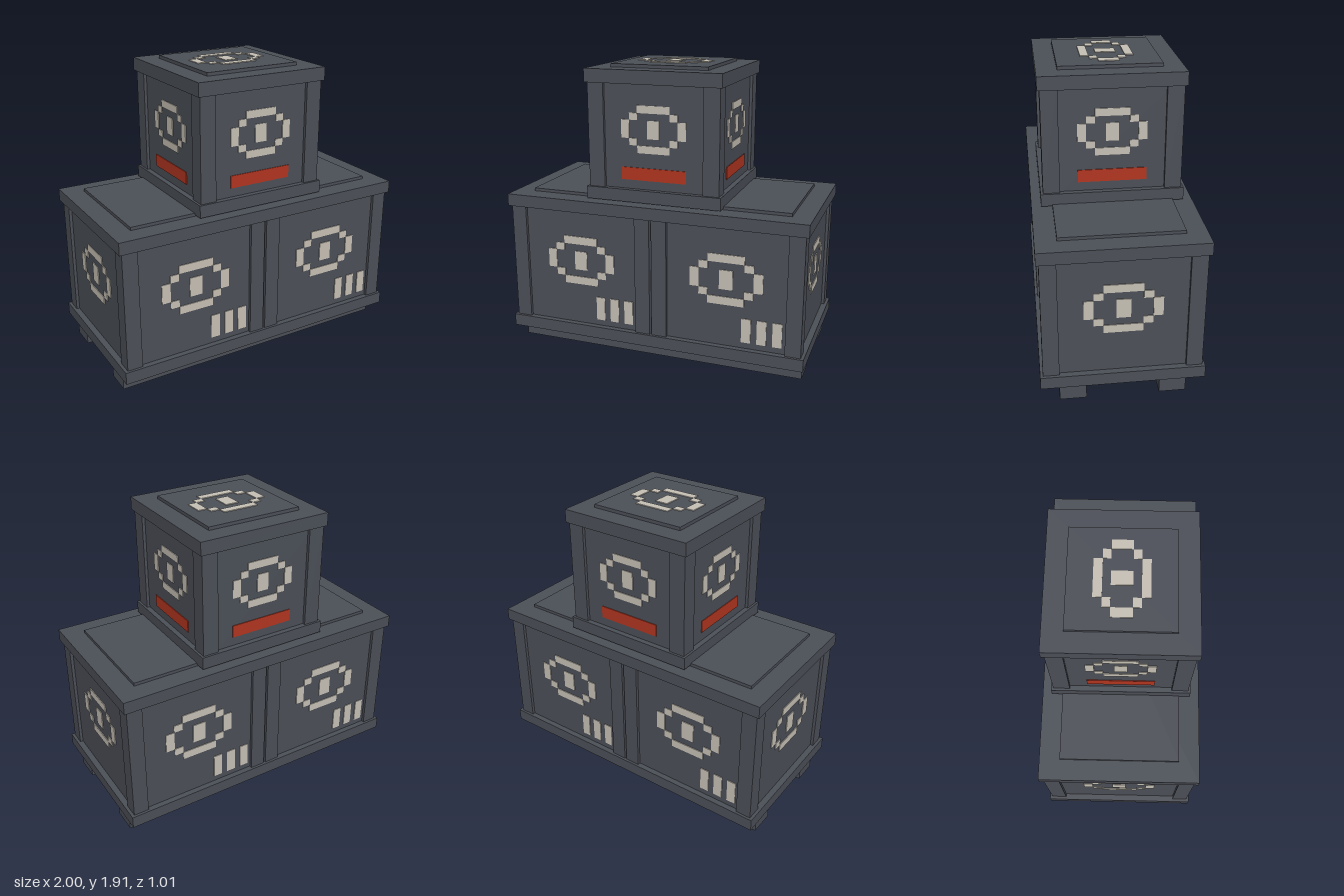
import * as THREE from 'three';

const steel = new THREE.MeshStandardMaterial({ color: 0x4b4f57 });
steel.name = 'dark steel';
const cream = new THREE.MeshStandardMaterial({ color: 0xc6c0b5 });
cream.name = 'cream paint';
const red = new THREE.MeshStandardMaterial({ color: 0xb23520 });
red.name = 'red paint';

// Box given by its lower and upper limits on each axis
function block(parent, name, mat, [x0, x1], [y0, y1], [z0, z1]) {
  const mesh = new THREE.Mesh(new THREE.BoxGeometry(x1 - x0, y1 - y0, z1 - z0), mat);
  mesh.position.set((x0 + x1) / 2, (y0 + y1) / 2, (z0 + z1) / 2);
  mesh.name = name;
  parent.add(mesh);
  return mesh;
}

const T = 0.005; // thickness of painted plates

function plate(parent, name, mat, x, y, w, h) {
  block(parent, name, mat, [x - w / 2, x + w / 2], [y - h / 2, y + h / 2], [0, T]);
}

// Stepped oval ring with a small block in the middle, facing +z
function emblem(w, h) {
  const g = new THREE.Group();
  g.name = 'emblem';
  const a = w / 2, b = h / 2;
  plate(g, 'emblemCentre', cream, 0, 0, a * 0.37, b * 0.77);
  for (const s of [-1, 1]) {
    plate(g, 'emblemBar', cream, 0, s * b * 0.84, a, b * 0.32);
    plate(g, 'emblemSide', cream, s * a * 0.875, 0, a * 0.25, b * 0.77);
    for (const t of [-1, 1])
      plate(g, 'emblemStep', cream, s * a * 0.625, t * b * 0.533, a * 0.25, b * 0.295);
  }
  return g;
}

// Recessed core with four corner posts
function crateBody(parent, name, [x0, x1], hz, yCore, yPost, inset, post) {
  const g = new THREE.Group();
  g.name = name;
  block(g, 'panels', steel, [x0 + inset, x1 - inset], yCore, [-hz + inset, hz - inset]);
  for (const x of [x0, x1 - post])
    for (const z of [-hz, hz - post])
      block(g, 'cornerPost', steel, [x, x + post], yPost, [z, z + post]);
  parent.add(g);
}

export function createModel() {
  const model = new THREE.Group();
  model.name = 'stackedCrates';

  // Skids
  for (const s of [-1, 1]) {
    const z = [s * 0.225, s * 0.39].sort((p, q) => p - q);
    block(model, 'skid', steel, [-0.975, 0.975], [0, 0.1], z);
  }

  // Two lower crates sharing a base frame and lid
  crateBody(model, 'lowerCrateRight', [-0.98, -0.007], 0.488, [0.1, 1], [0.15, 1], 0.02, 0.1);
  crateBody(model, 'lowerCrateLeft', [0.007, 0.98], 0.488, [0.1, 1], [0.15, 1], 0.02, 0.1);
  block(model, 'lowerFrame', steel, [-1, 1], [0.11, 0.19], [-0.505, 0.505]);
  block(model, 'lowerLid', steel, [-1, 1], [0.97, 1.05], [-0.505, 0.505]);
  block(model, 'lowerLidPanel', steel, [-0.87, 0.87], [1.05, 1.07], [-0.375, 0.375]);

  // Upper crate
  crateBody(model, 'upperCrate', [-0.43, 0.43], 0.43, [1.05, 1.84], [1.1, 1.84], 0.02, 0.105);
  block(model, 'upperFrame', steel, [-0.445, 0.445], [1.06, 1.14], [-0.445, 0.445]);
  block(model, 'upperLid', steel, [-0.445, 0.445], [1.8, 1.885], [-0.445, 0.445]);
  block(model, 'upperLidPanel', steel, [-0.318, 0.318], [1.885, 1.906], [-0.318, 0.318]);

  // Markings on the long sides: emblem and three bars on each crate
  for (const angle of [0, Math.PI]) {
    const side = new THREE.Group();
    side.name = 'longSideMarkings';
    side.rotation.y = angle;
    for (const x of [-0.494, 0.494]) {
      const e = emblem(0.47, 0.33);
      e.position.set(x, 0.631, 0.468);
      side.add(e);
      const bars = new THREE.Group();
      bars.name = 'stripeSet';
      bars.position.z = 0.468;
      for (let i = 0; i < 3; i++)
        plate(bars, 'stripe', cream, x + 0.135 + i * 0.099, 0.31, 0.06, 0.16);
      side.add(bars);
    }
    model.add(side);
  }

  // Markings on the lower ends
  for (const s of [-1, 1]) {
    const e = emblem(0.475, 0.33);
    e.position.set(s * 0.96, 0.628, 0);
    e.rotation.y = s * Math.PI / 2;
    model.add(e);
  }

  // Markings on all four sides of the upper crate
  for (let i = 0; i < 4; i++) {
    const side = new THREE.Group();
    side.name = 'upperSideMarkings';
    side.rotation.y = i * Math.PI / 2;
    const e = emblem(0.425, 0.298);
    e.position.set(0, 1.521, 0.41);
    const label = new THREE.Group();
    label.name = 'redLabel';
    label.position.z = 0.41;
    plate(label, 'redPlate', red, 0, 1.238, 0.425, 0.08);
    side.add(e, label);
    model.add(side);
  }

  // Emblem on the upper lid
  const top = emblem(0.478, 0.33);
  top.rotation.x = -Math.PI / 2;
  top.position.y = 1.906;
  model.add(top);

  return model;
}
